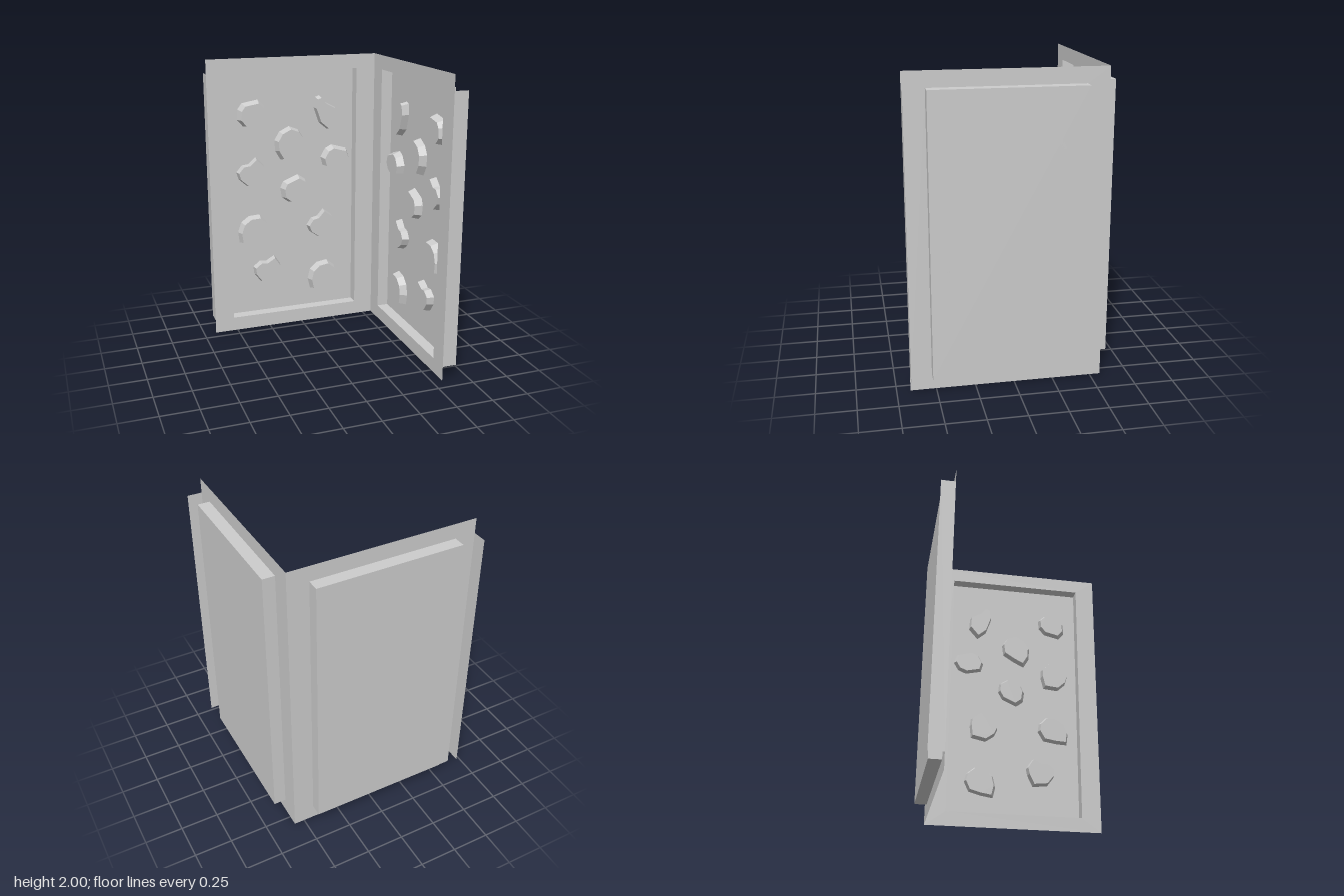
import * as THREE from 'three';

const WALL_Z = -0.569, PANEL_Z = -0.649, FLANGE_Z = -0.664;
const LEFT = -0.664, RIGHT = 0.569, HEIGHT = 2;
const IN_LEFT = -0.527, IN_RIGHT = 0.43, IN_LOW = 0.1, IN_HIGH = 1.9;

const material = new THREE.MeshStandardMaterial({ color: 0xcccccc, flatShading: true, side: THREE.DoubleSide });

// Stone outlines around their own centre, and how far the face narrows
const STONES = {
  round: { taper: 0.84, shift: 0.006, points: [[-0.064, 0.074], [0.053, 0.095], [0.1, 0.048], [0.095, -0.016],
    [0.053, -0.064], [-0.058, -0.09], [-0.1, -0.042], [-0.095, 0.032]] },
  drop: { taper: 0.87, shift: 0.004, points: [[-0.106, -0.1], [-0.116, -0.021], [-0.09, 0.053], [-0.032, 0.095],
    [0.048, 0.1], [0.1, 0.048], [0.11, -0.011], [0.069, -0.08], [-0.021, -0.095]] },
  notched: { taper: 0.91, shift: 0, points: [[-0.106, 0.005], [-0.064, 0.053], [-0.016, 0.058], [0.037, 0.106],
    [0.095, 0.048], [0.095, -0.005], [0.074, -0.09], [-0.032, -0.1], [-0.09, -0.048]] },
  shard: { taper: 0.9, shift: 0, points: [[-0.08, 0.042], [-0.069, 0.116], [-0.037, 0.127], [0, 0.08],
    [0.08, 0.037], [0.085, -0.048], [0.021, -0.122], [-0.042, -0.069]] },
};

// Kind, x, y, turn
const PLACES = [
  ['round', -0.34, 1.605, 0], ['round', 0.29, 1.245, -0.45], ['round', -0.03, 1.03, 0.2],
  ['drop', -0.34, 0.755, 0], ['drop', 0.19, 0.34, 0.1], ['drop', -0.065, 1.385, 0.4],
  ['notched', -0.35, 1.18, 0], ['notched', 0.175, 0.745, 0.12], ['notched', -0.245, 0.43, -0.2],
  ['shard', 0.21, 1.58, 0],
];

function rectangle(PathType, x0, y0, x1, y1) {
  return new PathType([[x0, y0], [x1, y0], [x1, y1], [x0, y1]].map(([x, y]) => new THREE.Vector2(x, y)));
}

function add(group, name, geometry) {
  const mesh = new THREE.Mesh(geometry, material);
  mesh.name = name;
  group.add(mesh);
  return mesh;
}

// Upright strip running back from the wall at a given x
function sideStrip(x, zBack) {
  const depth = WALL_Z - zBack;
  return new THREE.PlaneGeometry(depth, IN_HIGH - IN_LOW)
    .rotateY(Math.PI / 2)
    .translate(x, (IN_LOW + IN_HIGH) / 2, WALL_Z - depth / 2);
}

// Level strip running back from the wall at a given y
function levelStrip(y) {
  return new THREE.PlaneGeometry(IN_RIGHT - IN_LEFT, WALL_Z - PANEL_Z)
    .rotateX(-Math.PI / 2)
    .translate((IN_LEFT + IN_RIGHT) / 2, y, (WALL_Z + PANEL_Z) / 2);
}

// Low block whose front face is narrower than its base
function stoneGeometry({ points, taper, shift }) {
  const shape = new THREE.Shape(points.map(([x, y]) => new THREE.Vector2(x, y)));
  const geometry = new THREE.ExtrudeGeometry(shape, { depth: 0.05, bevelEnabled: false });
  const p = geometry.attributes.position;
  for (let i = 0; i < p.count; i++) {
    if (p.getZ(i) > 0.01) p.setXY(i, p.getX(i) * taper + shift, p.getY(i) * taper - shift);
  }
  geometry.computeVertexNormals();
  return geometry;
}

function createWall(name) {
  const wall = new THREE.Group();
  wall.name = name;

  // Flat frame with its opening
  const outline = rectangle(THREE.Shape, LEFT, 0, RIGHT, HEIGHT);
  outline.holes.push(rectangle(THREE.Path, IN_LEFT, IN_LOW, IN_RIGHT, IN_HIGH));
  add(wall, 'wallFrame', new THREE.ShapeGeometry(outline).translate(0, 0, WALL_Z));

  // Recess behind the opening
  const panel = rectangle(THREE.Shape, IN_LEFT, IN_LOW, IN_RIGHT, IN_HIGH);
  add(wall, 'recessPanel', new THREE.ShapeGeometry(panel).translate(0, 0, PANEL_Z));
  add(wall, 'recessLeftSide', sideStrip(IN_LEFT, PANEL_Z));
  add(wall, 'recessRightSide', sideStrip(IN_RIGHT, PANEL_Z));
  add(wall, 'recessTop', levelStrip(IN_HIGH));
  add(wall, 'recessBottom', levelStrip(IN_LOW));

  // Flange on the free end of the wall
  add(wall, 'endFlange', sideStrip(LEFT, FLANGE_Z));

  // Stones set on the recessed panel
  for (const [kind, x, y, turn] of PLACES) {
    const stone = add(wall, 'stone', stoneGeometry(STONES[kind]));
    stone.position.set(x, y, PANEL_Z);
    stone.rotation.z = turn;
  }
  return wall;
}

export function createModel() {
  const model = new THREE.Group();
  model.name = 'cornerWalls';
  model.add(createWall('backWall'));

  // Second wall mirrored across the corner
  const sideWall = createWall('sideWall');
  sideWall.scale.x = -1;
  sideWall.rotation.y = -Math.PI / 2;
  model.add(sideWall);
  return model;
}
